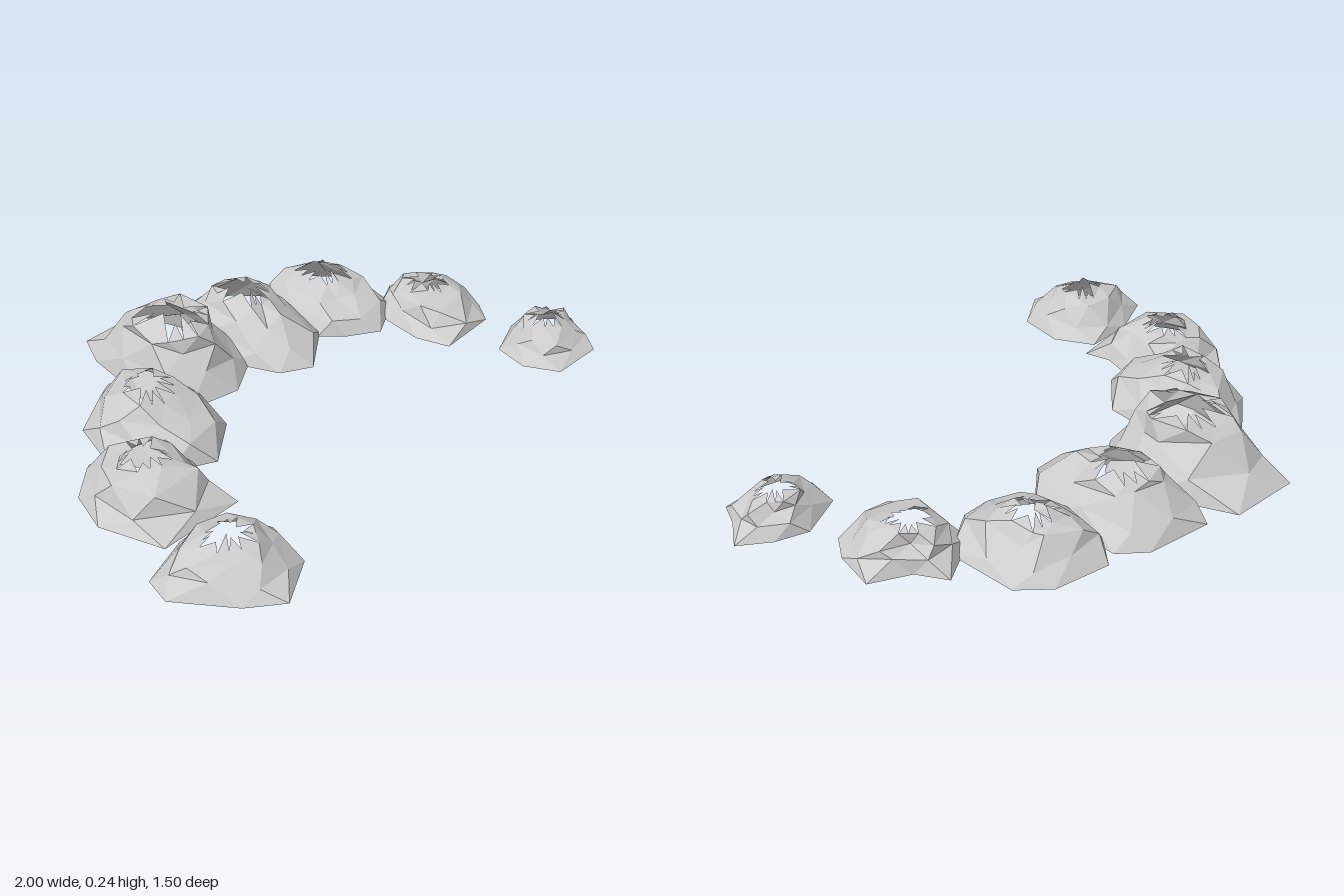
import * as THREE from 'three';

// One crag: footprint centre and half sizes, height, then its outline clockwise from the back:
// slides of the back, right, front and left corners along their edges,
// reaches of the four diagonal corners between them, and how far the crater sits forward
const crag = (x, z, halfX, halfZ, height, slides, reaches, drift = -.02) =>
  ({ x, z, halfX, halfZ, height, slides, reaches, drift });
const CRAGS = [
  crag(-.785, .395, .215, .205, .135, [0, -.1, .1, .4], [1.18, .97, .75, 1.18]),
  crag(-.66, -.025, .21, .245, .15, [0, 0, -.6, .1], [1, .85, 1.15, .95]),
  crag(-.39, -.23, .23, .28, .175, [.4, -.2, .1, 0], [1.06, .93, .95, .9]),
  crag(-.065, -.44, .225, .31, .22, [-.3, .3, 0, -.25], [1.08, 1.08, 1.13, .9], .05),
  crag(.26, -.305, .21, .305, .18, [-.3, -.4, .3, -.2], [1, .92, 1.08, .97]),
  crag(.565, -.185, .2, .255, .155, [-.2, -.25, .2, -.35], [.95, 1.04, .97, 1]),
  crag(.755, .135, .195, .205, .125, [.3, 0, -.3, -.3], [.65, .95, 1.27, 1]),
  crag(.81, .59, .19, .155, .11, [.1, 0, -.25, 0], [.85, .75, 1.1, 1.08]),
];
const SIDES = 8;

// Small seeded generator giving values from -1 to 1
function seeded(seed) {
  let s = seed * 7919 + 17;
  return () => {
    s = (s * 16807) % 2147483647;
    return (s / 2147483647) * 2 - 1;
  };
}

function cragGeometry({ x, z, halfX, halfZ, height, slides, reaches, drift }, seed) {
  const rnd = seeded(seed);
  for (let i = 0; i < 5; i++) rnd();
  const peak = new THREE.Vector3(x, 0, z + drift);
  const holeRadius = height * .55;

  // Irregular footprint
  const base = Array.from({ length: SIDES }, (_, i) => {
    const angle = (i / SIDES) * Math.PI * 2;
    const sin = Math.sin(angle), cos = Math.cos(angle);
    const pair = Math.floor(i / 2);
    const slide = i % 2 ? 0 : slides[pair];
    const reach = i % 2 ? reaches[pair] : 1;
    return new THREE.Vector3(
      x + halfX * (sin * reach + cos * slide), 0,
      z - halfZ * (cos * reach - sin * slide));
  });

  // Footprint position at a whole or half corner index
  const footAt = (q) => base[Math.floor(q) % SIDES].clone().lerp(base[Math.ceil(q) % SIDES], q % 1);

  // Rings climb towards the crater, each turned half a step for triangular facets
  const ring = (k, inset, level) => base.map((_, i) => {
    const p = footAt(i + k / 2).lerp(peak, inset + rnd() * .09);
    p.y = height * (level + rnd() * .12);
    return p;
  });
  const rim = base.map((_, i) => {
    const p = footAt(i + 1.5).sub(peak).setLength(holeRadius * (1.1 + rnd() * .25)).add(peak);
    p.y = height * (.88 + rnd() * .08);
    return p;
  });
  const rings = [base, ring(1, .13, .34), ring(2, .42, .68), rim];

  const tris = [];
  for (let k = 0; k < rings.length - 1; k++) {
    const low = rings[k], high = rings[k + 1];
    for (let i = 0; i < SIDES; i++) {
      const j = (i + 1) % SIDES;
      tris.push(low[i], high[i], low[j], high[i], high[j], low[j]);
    }
  }

  // Jagged teeth leaning over the open crater, one and two on alternate rim edges
  for (let i = 0; i < SIDES; i++) {
    const a = rim[i], b = rim[(i + 1) % SIDES];
    const teeth = 1 + i % 2;
    for (let t = 0; t < teeth; t++) {
      const p = a.clone().lerp(b, t / teeth), q = a.clone().lerp(b, (t + 1) / teeth);
      const tip = p.clone().lerp(q, .5).lerp(peak, .5 + rnd() * .2);
      tip.y = height * (1.02 + rnd() * .1);
      tris.push(p, tip, q);
    }
  }
  const geometry = new THREE.BufferGeometry().setFromPoints(tris);
  geometry.computeVertexNormals();
  return geometry;
}

export function createModel() {
  const model = new THREE.Group();
  model.name = 'craterRidge';
  const stone = new THREE.MeshStandardMaterial({ color: 0xcccccc, flatShading: true, side: THREE.DoubleSide });
  stone.name = 'pale grey stone';

  // Horseshoe of crags
  CRAGS.forEach((spec, i) => {
    const mesh = new THREE.Mesh(cragGeometry(spec, i + 1), stone);
    mesh.name = `crag${i + 1}`;
    model.add(mesh);
  });
  return model;
}
